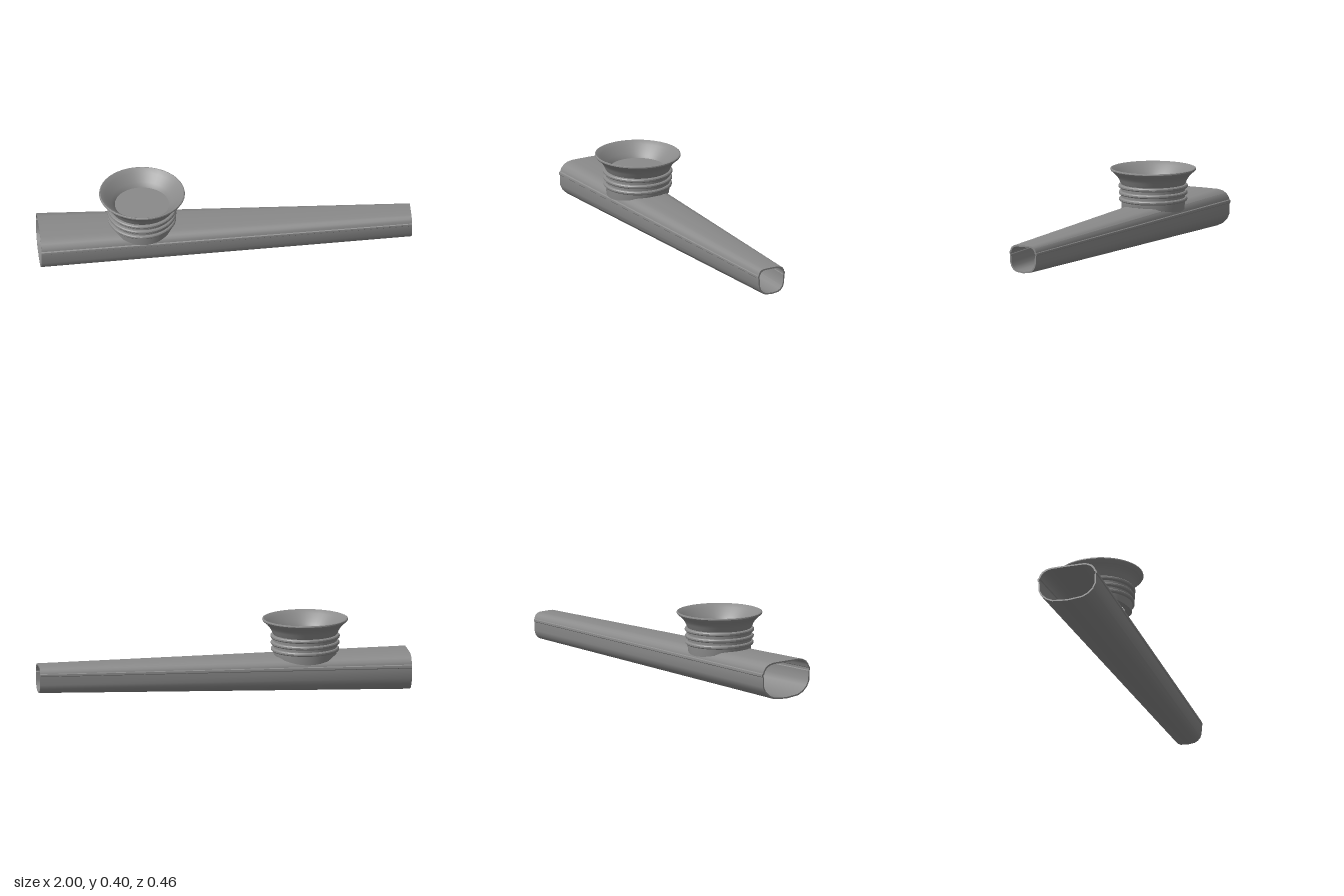
import * as THREE from 'three';
import { toCreasedNormals } from 'three/addons/utils/BufferGeometryUtils.js';

const WALL = 0.008;
const CREASE = 0.5;

// Half cross-sections [z, y], from top centre down the side to bottom centre.
const wideEnd = [[0, 0.208], [0.09, 0.207], [0.118, 0.202], [0.14, 0.19], [0.155, 0.172], [0.161, 0.156],
  [0.167, 0.152], [0.168, 0.139], [0.163, 0.135], [0.162, 0.08], [0.148, 0.05], [0.12, 0.024], [0.085, 0.008], [0, 0]];
const narrowEnd = [[0, 0.182], [0.045, 0.181], [0.058, 0.178], [0.069, 0.17], [0.076, 0.159], [0.079, 0.147],
  [0.083, 0.144], [0.083, 0.134], [0.08, 0.131], [0.078, 0.085], [0.071, 0.062], [0.057, 0.045], [0.04, 0.036], [0, 0.031]];

// Mirror a half section into a closed loop; inset shrinks it to the inner wall.
function ring(half, x, inset) {
  const loop = [...half, ...half.slice(1, -1).reverse().map(([z, y]) => [-z, y])];
  const top = half[0][1], bottom = half[half.length - 1][1];
  const mid = (top + bottom) / 2;
  const width = Math.max(...half.map((p) => p[0]));
  const sz = 1 - inset / width, sy = 1 - inset / ((top - bottom) / 2);
  return loop.map(([z, y]) => [x, mid + (y - mid) * sy, z * sz]);
}

// Thin tapered shell, open at both ends: outer wall, end lip, inner wall, end lip.
function tubeGeometry() {
  const rings = [ring(wideEnd, -1, 0), ring(narrowEnd, 1, 0), ring(narrowEnd, 1, WALL), ring(wideEnd, -1, WALL)];
  const n = rings[0].length, index = [];
  for (let r = 0; r < 4; r++) {
    for (let k = 0; k < n; k++) {
      const a = r * n + k, b = r * n + (k + 1) % n;
      const c = ((r + 1) % 4) * n + k, d = ((r + 1) % 4) * n + (k + 1) % n;
      index.push(a, b, c, b, d, c);
    }
  }
  const geo = new THREE.BufferGeometry();
  geo.setAttribute('position', new THREE.Float32BufferAttribute(rings.flat(2), 3));
  geo.setIndex(index);
  return toCreasedNormals(geo, CREASE);
}

// Ribbed collar with a flared mouth; its foot drapes over the tube's shoulders.
function turretGeometry() {
  const profile = [[0.13, 0.197], [0.16, 0.197], [0.168, 0.2], [0.171, 0.215]];
  for (const [y, r] of [[0.228, 0.183], [0.263, 0.184], [0.299, 0.186]]) {
    profile.push([0.171, y - 0.011], [r - 0.004, y - 0.009], [r, y - 0.004],
      [r, y + 0.004], [r - 0.004, y + 0.009], [0.171, y + 0.011]);
  }
  profile.push([0.176, 0.318], [0.183, 0.335], [0.194, 0.352], [0.21, 0.369], [0.227, 0.383],
    [0.23, 0.388], [0.229, 0.394], [0.224, 0.396], [0.217, 0.392],
    [0.2, 0.378], [0.181, 0.36], [0.163, 0.342], [0.151, 0.328], [0.145, 0.318]);
  const geo = new THREE.LatheGeometry(profile.map(([r, y]) => new THREE.Vector2(r, y)), 48);
  const p = geo.attributes.position;
  for (let i = 0; i < p.count; i++) {
    if (p.getY(i) < 0.205) p.setY(i, p.getY(i) - 0.03 * (p.getZ(i) / 0.168) ** 2);
  }
  geo.deleteAttribute('normal');
  return toCreasedNormals(geo, CREASE);
}

export function createModel() {
  const metal = new THREE.MeshStandardMaterial({ color: 0x8a8a8a });
  metal.name = 'grey metal';

  const group = new THREE.Group();
  group.name = 'kazoo';

  const tube = new THREE.Mesh(tubeGeometry(), metal);
  tube.name = 'tube';

  const turret = new THREE.Group();
  turret.name = 'turret';
  turret.position.x = -0.445;

  const collar = new THREE.Mesh(turretGeometry(), metal);
  collar.name = 'ribbedCollar';

  // Flat disc closing the mouth of the collar.
  const membrane = new THREE.Mesh(new THREE.CylinderGeometry(0.146, 0.146, 0.006, 48), metal);
  membrane.name = 'membrane';
  membrane.position.y = 0.316;

  turret.add(collar, membrane);
  group.add(tube, turret);
  return group;
}
